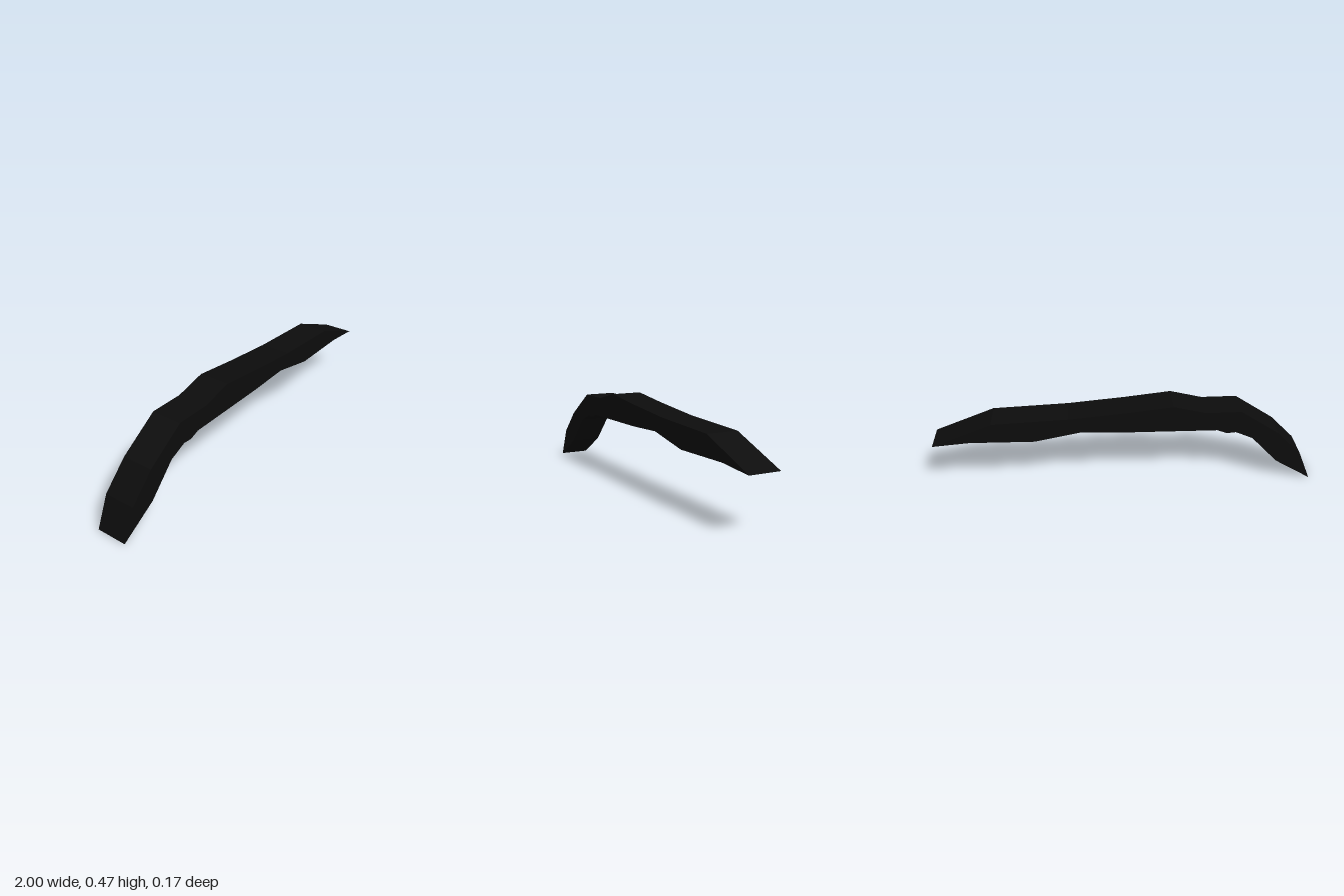
import * as THREE from 'three';

export function createModel() {
  const group = new THREE.Group();
  group.name = 'curvedBlade';

  const black = new THREE.MeshStandardMaterial({ color: 0x0c0c0c });
  black.name = 'black';

  // Side outline: upper edge from the drooping tip to the far point, then back underneath
  const outline = [
    [-1, 0], [-0.93, 0.163], [-0.8, 0.294], [-0.592, 0.433], [-0.407, 0.433],
    [-0.24, 0.475], [0, 0.448], [0.295, 0.421], [0.69, 0.404], [1, 0.283],
    [0.81, 0.299], [0.476, 0.294], [0.23, 0.342], [0, 0.332], [-0.472, 0.327],
    [-0.524, 0.307], [-0.572, 0.311], [-0.663, 0.27], [-0.805, 0.12],
  ];
  const shape = new THREE.Shape(outline.map(([x, y]) => new THREE.Vector2(x, y)));

  // Flat-sided body of constant width, centred on z = 0
  const width = 0.166;
  const geometry = new THREE.ExtrudeGeometry(shape, { depth: width, bevelEnabled: false });
  geometry.translate(0, 0, -width / 2);

  const body = new THREE.Mesh(geometry, black);
  body.name = 'body';
  group.add(body);
  return group;
}
